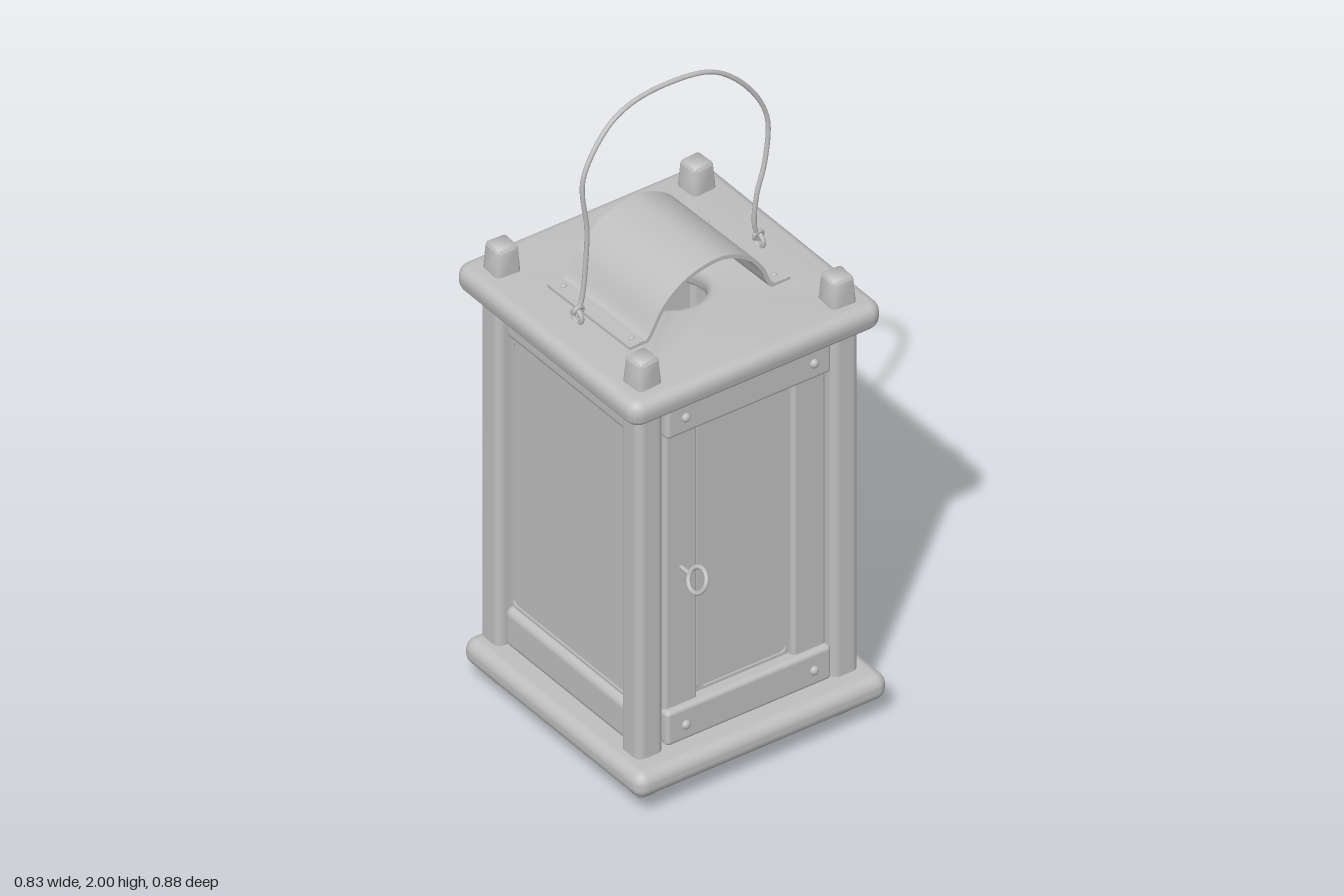
import * as THREE from 'three';
import { toCreasedNormals } from 'three/addons/utils/BufferGeometryUtils.js';
import { RoundedBoxGeometry } from 'three/addons/geometries/RoundedBoxGeometry.js';

const CZ = -0.023; // depth centre of the cage
const grey = new THREE.MeshStandardMaterial({ color: 0xbfbfbf });
grey.name = 'plain grey';

function add(parent, name, geometry, x = 0, y = 0, z = 0) {
  const mesh = new THREE.Mesh(geometry, grey);
  mesh.name = name;
  mesh.position.set(x, y, z);
  parent.add(mesh);
  return mesh;
}

const block = (w, h, d, r) => new RoundedBoxGeometry(w, h, d, 3, r);

function roundedRect(w, h, r) {
  const s = new THREE.Shape();
  const x = w / 2, y = h / 2;
  s.absarc(x - r, y - r, r, 0, Math.PI / 2);
  s.absarc(-x + r, y - r, r, Math.PI / 2, Math.PI);
  s.absarc(-x + r, -y + r, r, Math.PI, Math.PI * 1.5);
  s.absarc(x - r, -y + r, r, Math.PI * 1.5, Math.PI * 2);
  s.closePath();
  return s;
}

// Rounded block narrowed towards its far end (dir = 1 up, -1 down)
function peg(w, h, dir) {
  const g = block(w, h, w, 0.014);
  const p = g.attributes.position;
  for (let i = 0; i < p.count; i++) {
    const k = 1 - 0.2 * Math.max(0, (p.getY(i) * dir) / h + 0.5);
    p.setX(i, p.getX(i) * k);
    p.setZ(i, p.getZ(i) * k);
  }
  g.computeVertexNormals();
  return toCreasedNormals(g, 0.9);
}

// Raised pane with a thin bead around it, facing +z
function glazing(parent, w, h, y, z) {
  add(parent, 'paneBacking', new THREE.BoxGeometry(w + 0.03, h + 0.04, 0.02), 0, y, z - 0.012);
  const bead = roundedRect(w + 0.018, h + 0.018, 0.022);
  bead.holes.push(roundedRect(w, h, 0.016));
  add(parent, 'paneBead', new THREE.ExtrudeGeometry(bead, { depth: 0.012, bevelEnabled: false, curveSegments: 4 }), 0, y, z - 0.004);
  add(parent, 'pane', new THREE.ExtrudeGeometry(roundedRect(w, h, 0.016), { depth: 0.005, bevelEnabled: false, curveSegments: 4 }), 0, y, z - 0.002);
}

// Fixed wall: upper and lower rail with a large pane
function wall(parent, name, angle) {
  const g = new THREE.Group();
  g.name = name;
  g.position.z = CZ;
  g.rotation.y = angle;
  add(g, 'upperRail', block(0.58, 0.13, 0.07, 0.025), 0, 1.222, 0.305);
  add(g, 'lowerRail', block(0.58, 0.13, 0.07, 0.025), 0, 0.204, 0.305);
  glazing(g, 0.535, 0.865, 0.712, 0.315);
  parent.add(g);
}

function nail(parent, x, y, z, r, upright) {
  const m = add(parent, 'nail', new THREE.SphereGeometry(r, 10, 8), x, y, z);
  m.scale.set(1, upright ? 0.6 : 1, upright ? 1 : 0.8);
}

export function createModel() {
  const model = new THREE.Group();
  model.name = 'lantern';

  // Base board and roof board with a smoke hole
  add(model, 'baseBoard', block(0.83, 0.082, 0.815, 0.036), 0, 0.105, 0.005);
  const roof = roundedRect(0.766, 0.766, 0.012);
  roof.holes.push(new THREE.Path().absarc(0, 0, 0.135, 0, Math.PI * 2, true));
  const roofGeo = new THREE.ExtrudeGeometry(roof, {
    depth: 0.016, bevelThickness: 0.032, bevelSize: 0.032, bevelSegments: 5, curveSegments: 20,
  });
  roofGeo.rotateX(-Math.PI / 2);
  add(model, 'roofBoard', toCreasedNormals(roofGeo, 0.7), 0, 1.307, -0.025);

  // Corner posts with pegs through the roof and feet below the base
  for (const sx of [-1, 1]) {
    for (const sz of [-1, 1]) {
      const x = sx * 0.322, z = CZ + sz * 0.321;
      add(model, 'cornerPost', block(0.088, 1.18, 0.088, 0.024), x, 0.71, z);
      const top = add(model, 'postPeg', peg(0.084, 0.12, 1), x, 1.38, z);
      top.rotation.y = -0.06 * sx * sz;
      const foot = add(model, 'foot', peg(0.076, 0.09, -1), x, 0.046, z);
      foot.rotation.y = 0.06 * sx;
    }
  }

  // Side and back walls
  wall(model, 'leftWall', Math.PI / 2);
  wall(model, 'rightWall', -Math.PI / 2);
  wall(model, 'backWall', Math.PI);

  // Door: nailed rails, wide stiles and a narrow pane
  const door = new THREE.Group();
  door.name = 'door';
  model.add(door);
  add(door, 'upperRail', block(0.545, 0.112, 0.05, 0.014), 0, 1.217, 0.319);
  add(door, 'lowerRail', block(0.545, 0.112, 0.05, 0.014), 0, 0.207, 0.319);
  for (const sx of [-1, 1]) {
    add(door, 'stile', block(0.11, 0.96, 0.045, 0.012), sx * 0.212, 0.712, 0.302);
    for (const y of [1.217, 0.205]) nail(door, sx * 0.212, y, 0.346, 0.014, false);
  }
  glazing(door, 0.285, 0.865, 0.712, 0.305);

  // Ring pull on a short shank
  const ring = add(door, 'ringPull', new THREE.TorusGeometry(0.036, 0.007, 8, 20), -0.212, 0.712, 0.398);
  ring.rotation.set(0, Math.PI / 2, 0);
  ring.rotation.order = 'ZYX';
  ring.rotation.z = -0.45;
  const shank = add(door, 'ringShank', new THREE.CylinderGeometry(0.007, 0.007, 0.05, 8), -0.212, 0.712, 0.34);
  shank.rotation.x = Math.PI / 2;

  // Bent sheet hood over the smoke hole
  const hood = new THREE.Group();
  hood.name = 'hood';
  hood.position.set(0, 1.352, -0.025);
  hood.rotation.y = 0.025;
  model.add(hood);
  const line = new THREE.SplineCurve([
    [-0.27, 0], [-0.235, 0.001], [-0.2, 0.01], [-0.15, 0.09], [-0.08, 0.144], [0, 0.165],
    [0.06, 0.161], [0.125, 0.128], [0.17, 0.075], [0.2, 0.01], [0.235, 0.001], [0.27, 0],
  ].map(([x, y]) => new THREE.Vector2(x, y)));
  const inner = [], outer = [];
  for (let i = 0; i <= 48; i++) {
    const p = line.getPoint(i / 48), t = line.getTangent(i / 48);
    inner.push(p);
    outer.unshift(new THREE.Vector2(p.x - t.y * 0.012, p.y + t.x * 0.012));
  }
  const sheet = new THREE.ExtrudeGeometry(new THREE.Shape([...inner, ...outer]), { depth: 0.365, bevelEnabled: false });
  add(hood, 'hoodSheet', toCreasedNormals(sheet, 0.7), 0, 0, -0.183);
  for (const sx of [-1, 1]) for (const z of [-0.15, 0.15]) nail(hood, sx * 0.24, 0.013, z, 0.009, true);

  // Wire bail and its staples
  const wire = [
    [-0.305, 1.37, -0.028], [-0.288, 1.42, -0.026], [-0.275, 1.55, -0.024], [-0.272, 1.65, -0.024],
    [-0.28, 1.81, -0.03], [-0.2, 1.935, -0.038], [-0.125, 1.978, -0.044], [0, 1.993, -0.05],
    [0.155, 1.975, -0.044], [0.265, 1.885, -0.036], [0.327, 1.765, -0.03], [0.318, 1.63, -0.025],
    [0.288, 1.52, -0.024], [0.284, 1.42, -0.026], [0.305, 1.37, -0.028],
  ].map((p) => new THREE.Vector3(...p));
  add(model, 'wireBail', new THREE.TubeGeometry(new THREE.CatmullRomCurve3(wire), 90, 0.007, 8));
  for (const sx of [-1, 1]) {
    const staple = add(model, 'staple', new THREE.TorusGeometry(0.02, 0.007, 8, 16), sx * 0.3, 1.37, -0.028);
    staple.rotation.y = Math.PI / 2;
    const hook = add(model, 'wireHook', new THREE.TorusGeometry(0.014, 0.006, 8, 14), sx * 0.297, 1.388, -0.028);
    hook.rotation.x = 0.25;
  }
  return model;
}
